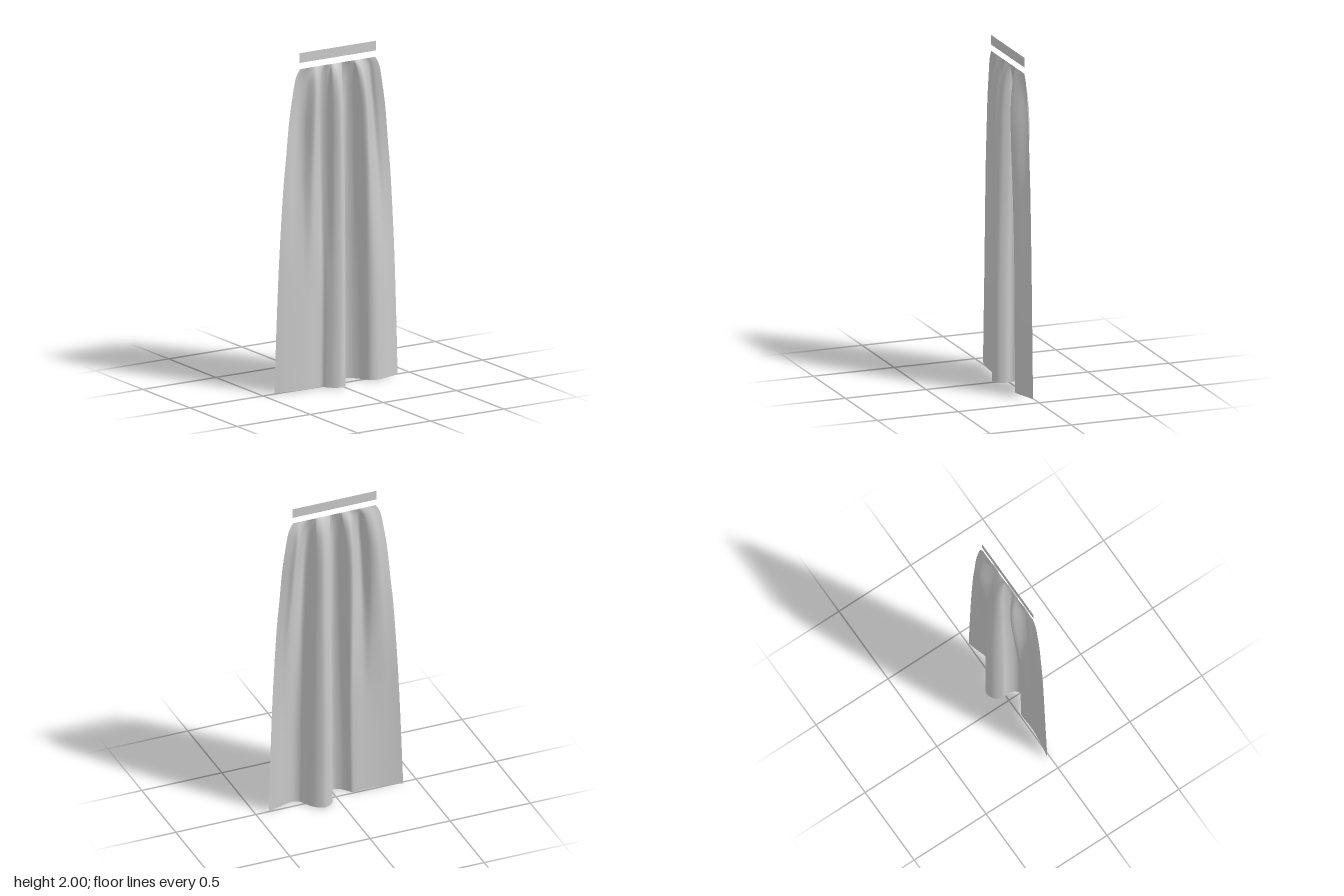
import * as THREE from 'three';

const V2 = (p) => new THREE.Vector2(p[0], p[1]);
const spline = (pts) => new THREE.SplineCurve(pts.map(V2));

// Fold path (x, z) along the hem
const hem = spline([
  [-0.41, -0.015], [-0.36, -0.004], [-0.3, 0.005], [-0.24, 0.011], [-0.19, 0.012], [-0.14, 0.009],
  [-0.105, 0.012], [-0.086, 0.036], [-0.055, 0.068], [-0.015, 0.083], [0.022, 0.062], [0.037, 0.02],
  [0.03, -0.02], [0.055, -0.062], [0.1, -0.083], [0.14, -0.068], [0.17, -0.038], [0.19, -0.005],
  [0.212, 0.032], [0.25, 0.047], [0.31, 0.036], [0.36, 0.02], [0.414, 0.005],
]);

// Tighter gathers (x, z) just below the top edge, matched point for point to the hem
const gathers = spline([
  [-0.3, -0.004], [-0.27, -0.018], [-0.235, -0.035], [-0.2, -0.018], [-0.165, 0.042], [-0.125, 0.014],
  [-0.09, -0.05], [-0.055, -0.022], [-0.045, 0.032], [-0.015, 0.06], [0.015, 0.042], [0.03, 0.005],
  [0.035, -0.03], [0.055, -0.053], [0.09, -0.064], [0.12, -0.035], [0.13, 0], [0.137, 0.035],
  [0.16, 0.054], [0.19, 0.024], [0.235, -0.037], [0.265, -0.018], [0.3, 0],
]);

// Half width and height of the cloth from top edge to hem
const outline = spline([
  [0.258, 1.905], [0.286, 1.85], [0.305, 1.75], [0.327, 1.6], [0.345, 1.4], [0.363, 1.2],
  [0.386, 0.8], [0.402, 0.4], [0.415, 0],
]);

function createCloth(material) {
  const cols = 132, rows = 64;
  const geometry = new THREE.PlaneGeometry(1, 1, cols, rows);
  const position = geometry.attributes.position;
  for (let j = 0; j <= rows; j++) {
    const { x: half, y } = outline.getPoint(j / rows);
    const drop = 1.905 - y;
    const blend = THREE.MathUtils.smoothstep(drop, 0.05, 1.45);
    const depth = 1 - Math.exp(-drop / 0.11);
    const centre = 0.01 * (1 - drop / 1.905);
    for (let i = 0; i <= cols; i++) {
      const g = gathers.getPoint(i / cols), h = hem.getPoint(i / cols);
      const x = THREE.MathUtils.lerp(g.x / 0.3, h.x / 0.412, blend) * half + centre;
      const z = THREE.MathUtils.lerp(g.y, h.y, blend) * depth;
      position.setXYZ(j * (cols + 1) + i, x, y, z);
    }
  }
  geometry.computeVertexNormals();
  const cloth = new THREE.Mesh(geometry, material);
  cloth.name = 'curtainCloth';
  return cloth;
}

export function createModel() {
  const group = new THREE.Group();
  group.name = 'curtain';
  const material = new THREE.MeshStandardMaterial({ color: 0xcccccc, side: THREE.DoubleSide });
  group.add(createCloth(material));

  // Flat strip floating above the gathered edge
  const strip = new THREE.Mesh(new THREE.PlaneGeometry(0.524, 0.058), material);
  strip.name = 'headerStrip';
  strip.position.set(0.01, 1.971, 0);
  group.add(strip);
  return group;
}
